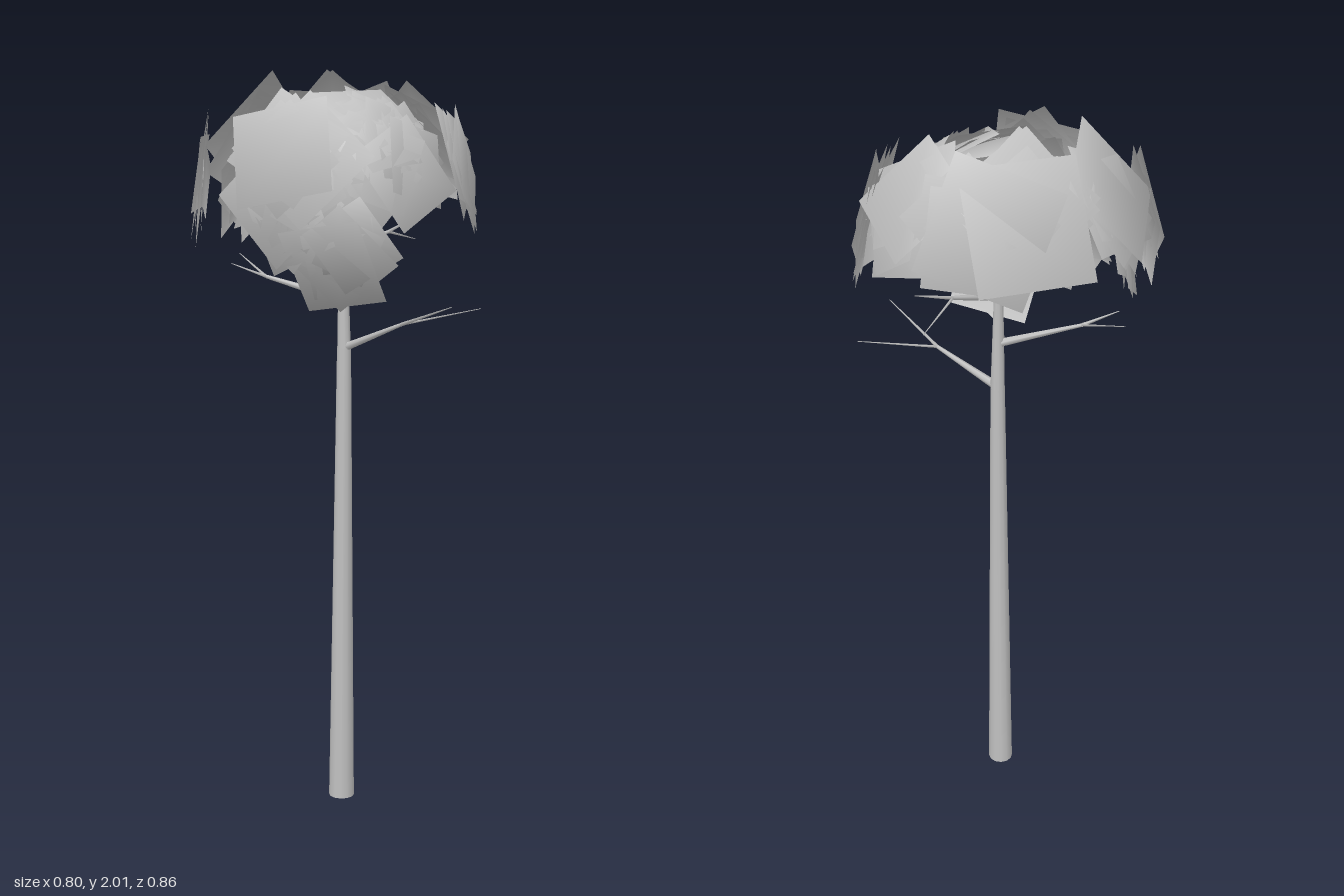
import * as THREE from 'three';

const V = (x, y, z) => new THREE.Vector3(x, y, z);

export function createModel() {
  const tree = new THREE.Group();
  tree.name = 'tree';
  const grey = new THREE.MeshStandardMaterial({ color: 0xc0c0c0, side: THREE.DoubleSide });
  grey.name = 'plainGrey';

  let seed = 11;
  const rand = () => {
    seed = (seed * 16807) % 2147483647;
    return seed / 2147483647;
  };
  const jitter = (a) => (rand() * 2 - 1) * a;

  // tapered open limb between two points
  function limb(name, a, b, r0, r1, sides = 6) {
    const dir = b.clone().sub(a);
    const mesh = new THREE.Mesh(new THREE.CylinderGeometry(r1, r0, dir.length(), sides, 1, true), grey);
    mesh.position.copy(a).addScaledVector(dir, 0.5);
    mesh.quaternion.setFromUnitVectors(V(0, 1, 0), dir.normalize());
    mesh.name = name;
    tree.add(mesh);
  }

  // trunk
  limb('trunk', V(0.004, 0, -0.016), V(0.012, 1.26, -0.016), 0.035, 0.019, 12);
  limb('upperTrunk', V(0.012, 1.26, -0.016), V(0.007, 1.68, -0.016), 0.019, 0.008, 10);

  // branches, each a chain of points followed by a side twig tip
  const branches = [
    [V(0.01, 1.26, -0.015), V(0.2, 1.33, 0), V(0.405, 1.385, 0.1), V(0.36, 1.37, -0.14)],
    [V(0.005, 1.39, -0.015), V(-0.19, 1.45, 0.06), V(-0.27, 1.485, 0.11), V(-0.34, 1.51, -0.02)],
    [V(0.005, 1.52, -0.015), V(0.05, 1.57, -0.18), V(0.08, 1.62, -0.31), V(0.03, 1.55, -0.36)],
    [V(0.005, 1.6, -0.015), V(-0.14, 1.66, -0.1), V(-0.2, 1.7, -0.13), V(-0.13, 1.63, 0.03)],
    [V(0.005, 1.4, -0.015), V(0.06, 1.46, 0.07), V(0.1, 1.51, 0.15), V(0.03, 1.48, 0.14)],
  ];
  for (const [a, b, c, d] of branches) {
    limb('branch', a, b, 0.012, 0.005);
    limb('branchTip', b, c, 0.005, 0.001, 4);
    limb('twig', b, d, 0.004, 0.001, 4);
  }

  // square leaf card, its normals fanned out for soft shading
  function leafCard(p, n, size, spin, parent) {
    const geo = new THREE.PlaneGeometry(size, size * 0.95);
    const pos = geo.attributes.position;
    for (let i = 0; i < 4; i++) {
      const m = V(pos.getX(i), pos.getY(i), size * 1.2).normalize();
      geo.attributes.normal.setXYZ(i, m.x, m.y, m.z);
    }
    const mesh = new THREE.Mesh(geo, grey);
    mesh.name = 'leafCard';
    mesh.position.copy(p);
    mesh.quaternion.setFromUnitVectors(V(0, 0, 1), n);
    mesh.rotateZ(spin);
    parent.add(mesh);
  }

  // leaf clusters: name, centre, facing, card size, card count, spread over a curved shell
  const clusters = [
    ['frontRightPuff', V(0.18, 1.76, 0.16), V(0.6, 0.45, 0.65), 0.2, 14, 0.38],
    ['frontPuff', V(0.05, 1.68, 0.245), V(0.12, 0.1, 0.95), 0.23, 9, 0.22],
    ['puffCrown', V(0.12, 1.88, -0.01), V(0.45, 0.85, 0.05), 0.21, 9, 0.27],
    ['rightPuff', V(0.24, 1.79, 0.03), V(0.85, 0.4, 0.1), 0.18, 6, 0.2],
    ['lowerFrontPuff', V(0.15, 1.51, 0.215), V(0.25, -0.4, 0.85), 0.2, 6, 0.14],
    ['lowerMiddlePuff', V(0.03, 1.59, 0.245), V(0.05, -0.05, 0.95), 0.2, 4, 0.12],
    ['frontDisc', V(0.085, 1.75, 0.355), V(0.16, 0.27, 0.95), 0.21, 7, 0.06],
    ['leftFrontDisc', V(-0.275, 1.71, 0.225), V(-0.8, 0.12, 0.6), 0.22, 6, 0.06],
    ['rightBackDisc', V(0.285, 1.745, -0.165), V(0.9, 0.22, -0.38), 0.23, 7, 0.08],
    ['rightBackPuff', V(0.18, 1.82, -0.19), V(0.55, 0.65, -0.45), 0.18, 7, 0.25],
    ['backPuff', V(0.08, 1.81, -0.29), V(0.2, 0.5, -0.8), 0.2, 8, 0.2],
    ['leftBackPuff', V(-0.18, 1.84, -0.26), V(-0.55, 0.5, -0.65), 0.24, 9, 0.17],
    ['backLowerPuff', V(-0.07, 1.8, -0.33), V(-0.25, 0.35, -0.9), 0.2, 5, 0.13],
    ['leftPuff', V(-0.28, 1.83, -0.03), V(-0.8, 0.58, 0.0), 0.22, 8, 0.15],
    ['leftLowerPuff', V(-0.3, 1.71, 0.03), V(-0.8, 0.25, 0.3), 0.18, 5, 0.15],
    ['innerFrontPuff', V(-0.11, 1.7, 0.15), V(-0.35, 0.45, 0.75), 0.2, 8, 0.2],
  ];
  for (const [name, centre, facing, size, count, spread] of clusters) {
    const group = new THREE.Group();
    group.name = name;
    facing.normalize();
    for (let i = 0; i < count; i++) {
      const n = facing.clone().add(V(jitter(spread), jitter(spread), jitter(spread))).normalize();
      const p = n.clone().sub(facing).multiplyScalar(0.27).add(centre);
      p.addScaledVector(n, jitter(0.012));
      leafCard(p, n, size * (0.72 + rand() * 0.45), rand() * Math.PI, group);
    }
    tree.add(group);
  }

  // large cards around the crown's outline
  const outline = new THREE.Group();
  outline.name = 'outerLeaves';
  const large = [
    [V(-0.2, 1.83, -0.28), V(-0.55, 0.5, -0.65), 0.29, 0.35],
    [V(-0.13, 1.82, -0.33), V(-0.45, 0.3, -0.82), 0.28, 0.1],
    [V(-0.29, 1.85, -0.02), V(-0.82, 0.57, 0.03), 0.27, 1.45],
    [V(0.09, 1.85, -0.29), V(0.2, 0.6, -0.75), 0.23, 0.3],
    [V(0.085, 1.755, 0.37), V(0.16, 0.27, 0.96), 0.25, 0.2],
    [V(-0.275, 1.7, 0.225), V(-0.8, 0.12, 0.6), 0.26, 0.5],
    [V(0.15, 1.5, 0.215), V(0.2, -0.45, 0.85), 0.22, 0.6],
    [V(0.285, 1.745, -0.165), V(0.9, 0.22, -0.38), 0.27, 0.3],
    [V(0.0, 1.66, 0.25), V(0.1, 0.05, 0.96), 0.27, 0.75],
  ];
  for (const [p, n, size, spin] of large) leafCard(p, n.normalize(), size, spin, outline);
  tree.add(outline);

  return tree;
}
